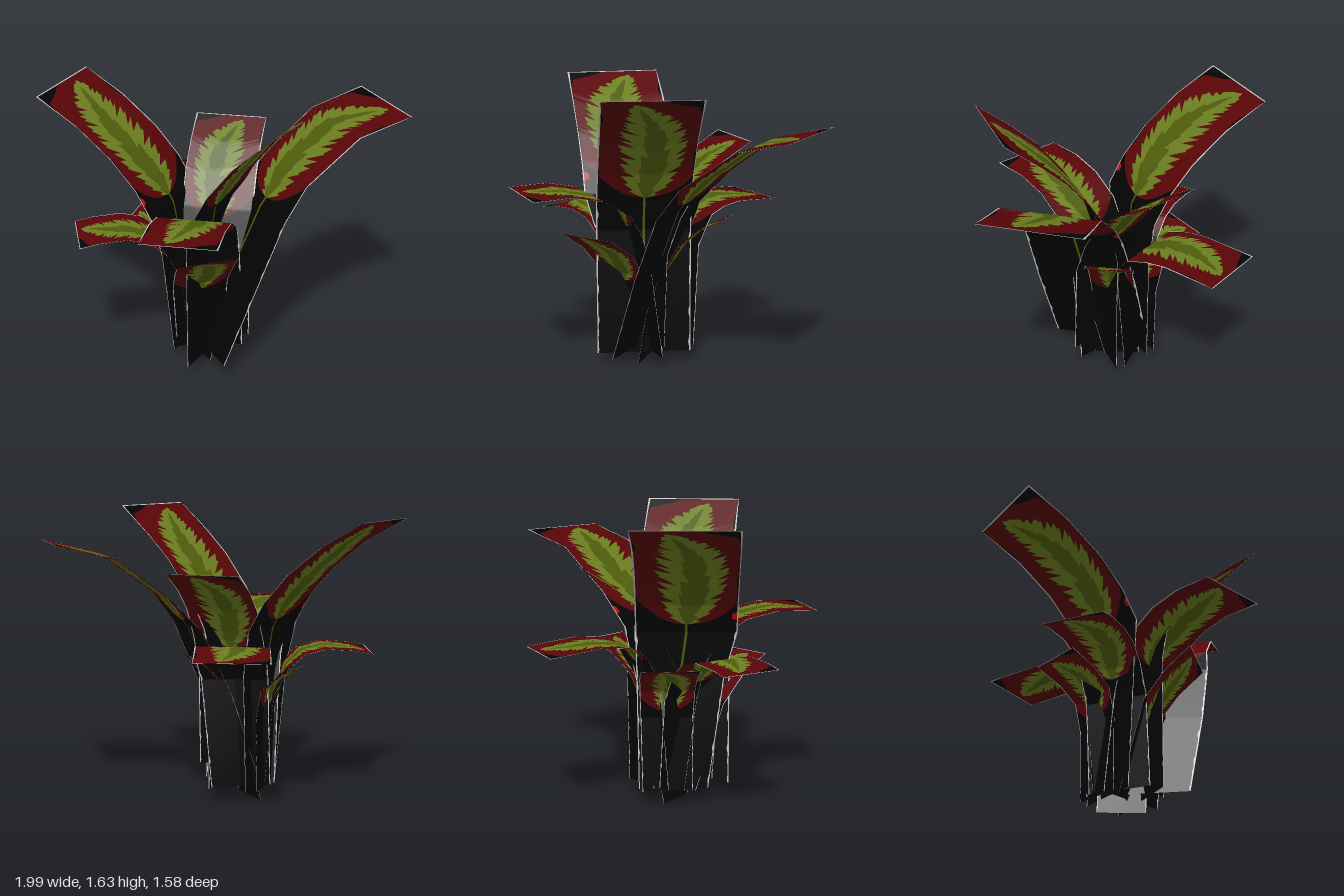
import * as THREE from 'three';

const mat = (name, color) => {
  const m = new THREE.MeshStandardMaterial({ color, side: THREE.DoubleSide });
  m.name = name;
  return m;
};

const STEPS = 260;
const BLADE = 0.52; // fraction of a card's length where the coloured blade begins
const { clamp, lerp, smoothstep } = THREE.MathUtils;

// Rows [y, leftX, leftZ, rightX, rightZ] of a card that bends straight ahead.
// a, b: left and right base corners [x, z]; profile: [height, distance ahead].
function ahead(a, b, profile) {
  const lx = a[0] - b[0], lz = a[1] - b[1], l = Math.hypot(lx, lz);
  const dx = -lz / l, dz = lx / l;
  return profile.map(([y, s]) => [y, a[0] + dx * s, a[1] + dz * s, b[0] + dx * s, b[1] + dz * s]);
}

// Returns a function (u across -1..1, v along 0..1) -> point on the card.
function cardSurface(rows) {
  const dist = [0];
  for (let i = 1; i < rows.length; i++) {
    const p = rows[i - 1], q = rows[i];
    dist.push(dist[i - 1] + Math.hypot(q[0] - p[0],
      (q[1] + q[3] - p[1] - p[3]) / 2, (q[2] + q[4] - p[2] - p[4]) / 2));
  }
  const total = dist[dist.length - 1];
  return (u, v) => {
    // veins sweep towards the tip; the midrib bows left, then curls right at the tip
    const t = clamp((v - BLADE) / (1 - BLADE), 0, 1);
    const bow = -0.26 * Math.sin(Math.PI * t) + 0.4 * t * t;
    const across = u + bow * (1 - u * u);
    const d = clamp(v + 0.085 * Math.abs(u) * Math.sin(Math.PI * t), 0, 1) * total;
    let i = 1;
    while (i < rows.length - 1 && dist[i] < d) i++;
    const f = (d - dist[i - 1]) / (dist[i] - dist[i - 1]);
    const r = rows[i].map((n, k) => lerp(rows[i - 1][k], n, f));
    const w = (across + 1) / 2;
    return [lerp(r[1], r[3], w), r[0], lerp(r[2], r[4], w)];
  };
}

// Sawtooth feathering with teeth of varying depth: 0 at a notch, up to 1 at a tip.
function feather(t, count, side) {
  const x = t * count + (side < 0 ? 0.45 : 0);
  const n = Math.floor(x);
  return 1 - (0.34 + 0.2 * Math.sin(n * 2.3 + side)) * (1 - (x - n));
}

// Outer half-widths of midrib, feathered centre, blade, sheath, bud and edge.
function pattern(v, side, stalk) {
  const t = (v - BLADE) / (1 - BLADE);
  // pale fringe: ragged along the stalk, thin along the blade, and over the tip
  const ragged = t < 0 ? 0.025 * Math.max(0, Math.sin(v * 90 + side) * Math.sin(v * 37)) : 0;
  const edge = 0.975 - ragged;
  if (v > 0.995) return [0, 0, 0, 0, 0, 1];
  if (t <= 0) {
    const s = t > -0.4 ? stalk : 0;
    return [s, s, s, edge, edge, 1];
  }
  let blade = Math.sqrt(clamp(t / 0.12, 0, 1)) * (1 - 0.07 * Math.max(0, Math.sin(11 * t + side)));
  if (side < 0) blade = Math.min(blade, 1 - 0.5 * smoothstep(t, 0.76, 1.02));
  else blade = Math.min(blade, 1 - 0.15 * smoothstep(t, 0.92, 1));
  blade = Math.min(blade, edge);
  const bell = Math.pow(Math.sin(Math.PI * Math.pow(clamp(t / 0.95, 0, 1), 0.75)), 0.6);
  const green = Math.min(blade, 0.72 * bell * feather(t, 21, side));
  const rib = 0.3 * Math.pow(Math.sin(Math.PI * Math.pow(clamp(t / 0.9, 0, 1), 0.6)), 0.8);
  const olive = Math.min(green, Math.max(rib * feather(t, 9, side), t < 0.2 ? stalk : 0));
  const bud = side < 0 && stalk > 0 && t > 0.03 && t < 0.06 ? Math.max(blade, 0.87) : edge;
  return [olive, green, blade, bud, edge, 1];
}

function leaf(name, rows, mats) {
  const group = new THREE.Group();
  group.name = name;
  const at = cardSurface(rows);
  const stalk = name.startsWith('tall') ? 0.025 : 0;
  const bands = [
    ['midrib', mats.olive], ['leafCentre', mats.green], ['leafMargin', mats.red],
    ['darkSheath', mats.black], ['redBud', mats.bud], ['paleEdge', mats.pale],
  ];
  bands.forEach(([part, material], k) => {
    const pos = [], idx = [];
    for (const side of [-1, 1]) {
      const cuts = (v) => [0, ...pattern(v, side, stalk)];
      const start = pos.length / 3;
      for (let i = 0; i <= STEPS; i++) {
        const v = i / STEPS, c = cuts(v);
        pos.push(...at(side * c[k], v), ...at(side * c[k + 1], v));
        if (i === 0) continue;
        const p = cuts((i - 1) / STEPS);
        if (c[k + 1] - c[k] < 1e-4 && p[k + 1] - p[k] < 1e-4) continue;
        const n = start + 2 * i;
        if (side > 0) idx.push(n - 2, n - 1, n, n - 1, n + 1, n);
        else idx.push(n - 2, n, n - 1, n - 1, n, n + 1);
      }
    }
    if (idx.length === 0) return;
    const geo = new THREE.BufferGeometry();
    geo.setAttribute('position', new THREE.Float32BufferAttribute(pos, 3));
    geo.setIndex(idx);
    geo.computeVertexNormals();
    const mesh = new THREE.Mesh(geo, material);
    mesh.name = part;
    group.add(mesh);
  });
  return group;
}

export function createModel() {
  const mats = {
    black: mat('sheath black', 0x040404),
    red: mat('deep red', 0x580507),
    green: mat('leaf green', 0x6b7e1f),
    olive: mat('olive midrib', 0x4f5d0c),
    bud: mat('bright red', 0xc01010),
    pale: mat('pale edge', 0xc4c4c4),
  };

  const leaves = {
    // three tall leaves
    tallLeftwardLeaf: [
      [0.08, -0.26, 0.19, -0.20, -0.19],
      [0.73, -0.30, 0.27, -0.19, -0.20],
      [0.97, -0.34, 0.33, -0.22, -0.21],
      [1.13, -0.43, 0.31, -0.31, -0.23],
      [1.29, -0.57, 0.28, -0.45, -0.26],
      [1.45, -0.77, 0.235, -0.65, -0.305],
      [1.58, -1.00, 0.18, -0.88, -0.36],
    ],
    tallFrontLeaf: ahead([0.02, -0.175], [-0.15, 0.335],
      [[0.07, 0], [0.8, 0], [0.97, 0.03], [1.15, 0.13], [1.34, 0.28], [1.47, 0.42], [1.63, 0.62]]),
    tallBackLeaf: [
      [0.10, -0.27, -0.12, 0.06, 0.33],
      [0.60, -0.12, -0.17, 0.24, 0.27],
      [0.96, 0.03, -0.23, 0.37, 0.20],
      [1.14, 0.17, -0.33, 0.47, 0.11],
      [1.37, 0.41, -0.51, 0.73, -0.08],
      [1.45, 0.67, -0.70, 0.99, -0.25],
    ],
    // middle leaves
    frontLeaf: ahead([0.11, 0.04], [-0.30, 0.045],
      [[0.08, 0], [0.6, 0.07], [0.8, 0.12], [0.93, 0.19], [1.03, 0.35], [1.07, 0.53], [1.065, 0.75]]),
    uprightBackLeaf: ahead([-0.26, 0.05], [0.15, 0.05],
      [[0.16, 0], [0.7, 0.02], [0.9, 0.1], [1.08, 0.22], [1.2, 0.36], [1.3, 0.53]]),
    spreadingBackLeaf: [
      [0.09, -0.30, -0.04, -0.01, -0.21],
      [0.70, -0.30, -0.09, 0.05, -0.21],
      [0.82, -0.31, -0.15, 0.07, -0.25],
      [0.88, -0.335, -0.20, 0.06, -0.29],
      [0.91, -0.37, -0.30, 0.02, -0.39],
      [0.92, -0.41, -0.42, -0.02, -0.51],
      [0.89, -0.50, -0.70, -0.11, -0.79],
    ],
    // low leaves
    lowSideLeaf: ahead([-0.15, 0.24], [-0.28, -0.09],
      [[0.1, 0], [0.6, 0.05], [0.75, 0.13], [0.83, 0.22], [0.86, 0.34], [0.85, 0.5], [0.83, 0.6]]),
    smallSideLeaf: [
      [0.08, -0.28, 0.10, -0.26, -0.18],
      [0.50, -0.28, 0.10, -0.26, -0.19],
      [0.65, -0.32, 0.10, -0.29, -0.20],
      [0.74, -0.42, 0.09, -0.39, -0.22],
      [0.81, -0.57, 0.08, -0.54, -0.24],
    ],
    smallBackLeaf: [
      [0, -0.25, -0.06, -0.06, 0.12],
      [0.30, -0.20, -0.10, -0.02, 0.09],
      [0.55, -0.13, -0.15, 0.04, 0.03],
      [0.72, -0.05, -0.22, 0.12, -0.04],
      [0.82, 0.02, -0.31, 0.19, -0.11],
      [0.885, 0.11, -0.41, 0.28, -0.20],
    ],
    smallFrontLeaf: [
      [0.07, -0.02, -0.02, -0.26, 0.12],
      [0.55, 0.04, 0.12, -0.24, 0.28],
      [0.70, 0.10, 0.22, -0.20, 0.40],
      [0.81, 0.15, 0.36, -0.15, 0.54],
    ],
  };

  const plant = new THREE.Group();
  plant.name = 'broadLeafPlant';
  for (const [name, rows] of Object.entries(leaves)) plant.add(leaf(name, rows, mats));
  return plant;
}
